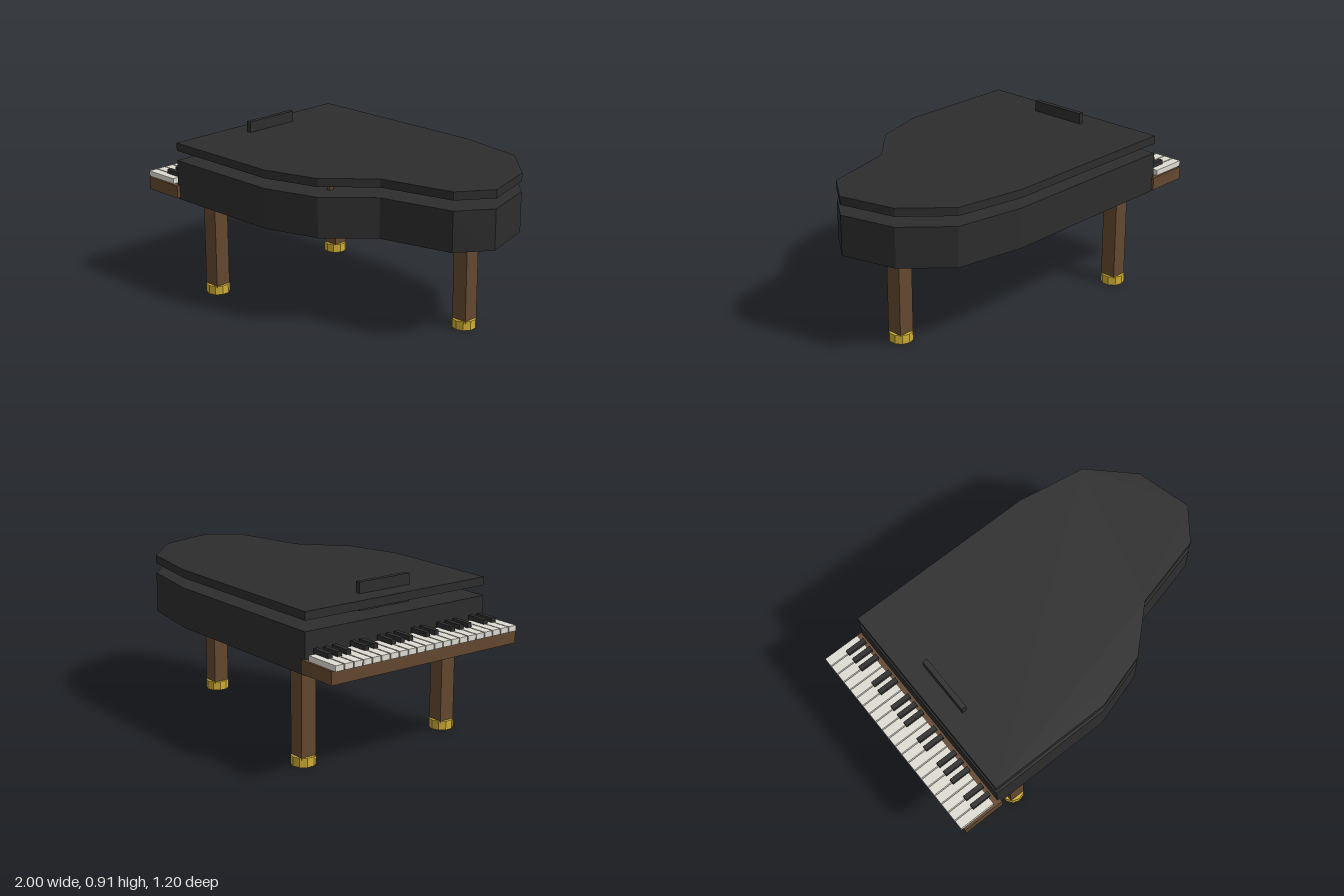
import * as THREE from 'three';

const mat = (name, color) => {
  const m = new THREE.MeshStandardMaterial({ color });
  m.name = name;
  return m;
};

export function createModel() {
  const piano = new THREE.Group();
  piano.name = 'grandPiano';
  const black = mat('blackLacquer', 0x2d2d2d);
  const wood = mat('brownWood', 0x634830);
  const brass = mat('brass', 0xd0ae36);
  const ivory = mat('ivory', 0xdedcd2);

  const add = (name, geometry, material, x, y, z) => {
    const mesh = new THREE.Mesh(geometry, material);
    mesh.name = name;
    mesh.position.set(x, y, z);
    piano.add(mesh);
    return mesh;
  };
  // box given by its ranges along each axis
  const box = (name, material, [x0, x1], [y0, y1], [z0, z1]) =>
    add(name, new THREE.BoxGeometry(x1 - x0, y1 - y0, z1 - z0), material,
      (x0 + x1) / 2, (y0 + y1) / 2, (z0 + z1) / 2);

  // curved case outline as (x, z), shared by body and lid
  const outline = new THREE.Shape([
    [-0.76, 0.58], [-0.06, 0.58], [0.24, 0.49], [0.47, 0.275], [0.87, 0.175],
    [1, 0], [0.92, -0.305], [0.7, -0.52], [0.32, -0.585], [-0.76, -0.585],
  ].map(([x, z]) => new THREE.Vector2(x, -z)));
  const slab = (name, y0, y1) => {
    const g = new THREE.ExtrudeGeometry(outline, { depth: y1 - y0, bevelEnabled: false });
    g.rotateX(-Math.PI / 2);
    add(name, g, black, 0, y0, 0);
  };
  slab('body', 0.53, 0.75);
  slab('lid', 0.805, 0.85);

  // lid prop and music stand
  box('lidProp', wood, [0.185, 0.207], [0.75, 0.805], [0.343, 0.367]);
  box('musicStand', black, [-0.65, -0.622], [0.76, 0.91], [-0.163, 0.163]);

  // keyboard
  box('keyBed', wood, [-0.985, -0.745], [0.54, 0.61], [-0.6, 0.6]);
  const pitch = 0.0562;
  for (let i = 0; i < 21; i++) {
    const z = (i - 10) * pitch;
    box('whiteKey', ivory, [-1, -0.79], [0.61, 0.64], [z - 0.025, z + 0.025]);
    // groups of three and two sharps, one gap between groups
    if (i < 20 && ![3, 6].includes(i % 7)) {
      const s = z + pitch / 2;
      box('blackKey', black, [-0.89, -0.777], [0.638, 0.665], [s - 0.0135, s + 0.0135]);
    }
  }

  // legs with brass feet
  for (const [x, z] of [[-0.585, 0.465], [-0.585, -0.465], [0.72, -0.115]]) {
    box('leg', wood, [x - 0.045, x + 0.045], [0.04, 0.525], [z - 0.045, z + 0.045]);
    const foot = add('foot', new THREE.CylinderGeometry(0.065, 0.065, 0.05, 10), brass, x, 0.025, z);
    foot.geometry = foot.geometry.toNonIndexed();
    foot.geometry.computeVertexNormals();
  }
  return piano;
}
